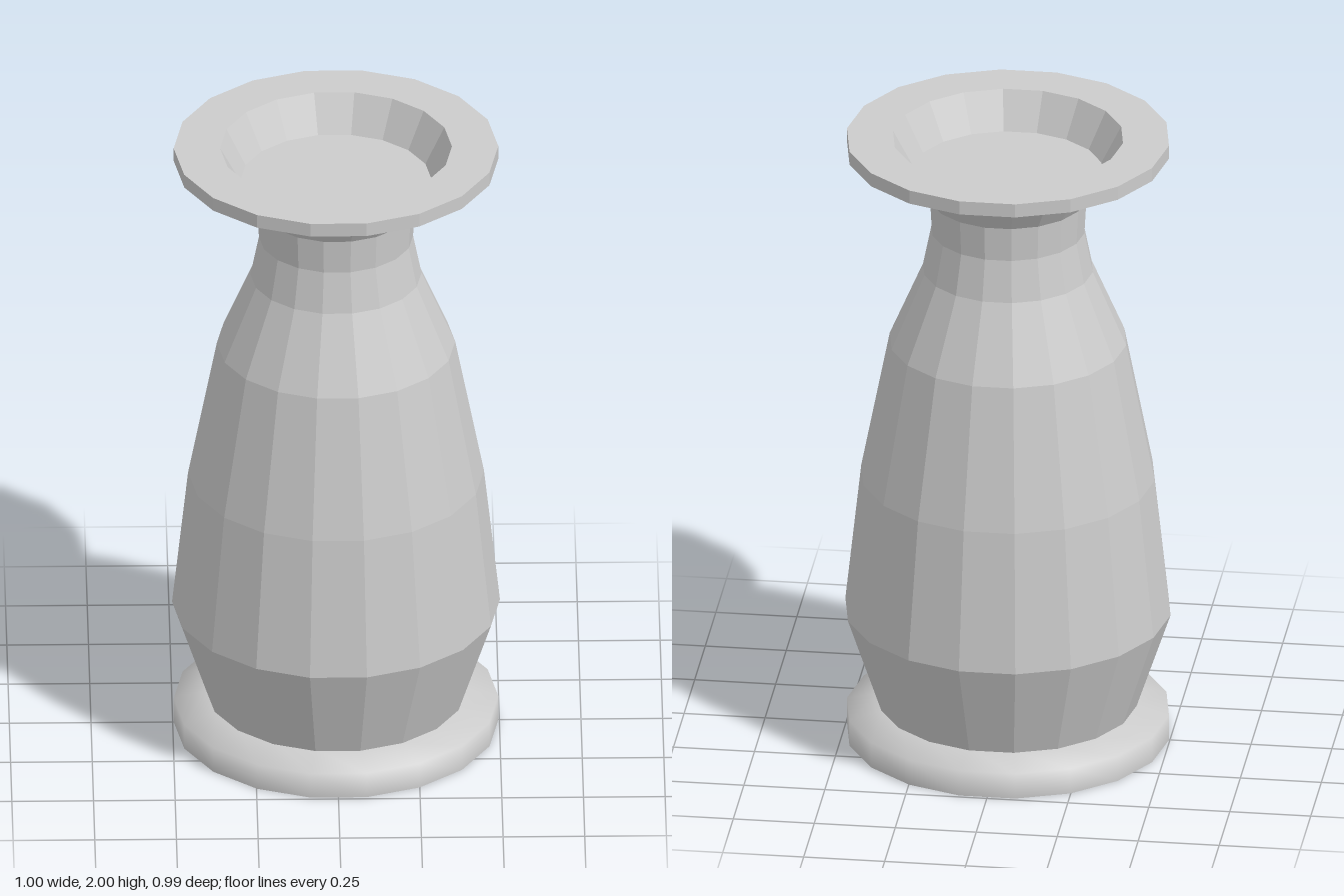
import * as THREE from 'three';

const SIDES = 18;

// Revolve a profile of [radius, height] points, with a corner on the x axis
function turned(name, profile, flatShading = true) {
  const points = profile.map(([r, y]) => new THREE.Vector2(r, y));
  const geometry = new THREE.LatheGeometry(points, SIDES, Math.PI / 2);
  const material = new THREE.MeshStandardMaterial({ color: 0xcccccc, flatShading });
  const mesh = new THREE.Mesh(geometry, material);
  mesh.name = name;
  return mesh;
}

export function createModel() {
  const vase = new THREE.Group();
  vase.name = 'vase';

  // Foot: smooth rounded disc with a flat underside
  vase.add(turned('foot', [[0.497, 0], [0.497, 0.083], [0.39, 0.11]], false));
  vase.add(turned('footUnderside', [[0, 0], [0.497, 0]]));

  // Faceted body, narrowing to the neck and flaring up to the rim
  vase.add(turned('body', [
    [0.397, 0.108], [0.502, 0.42], [0.453, 0.87], [0.365, 1.32],
    [0.262, 1.56], [0.236, 1.69], [0.242, 1.8], [0.344, 1.956],
  ]));

  // Wide flat rim
  vase.add(turned('rim', [[0.344, 1.956], [0.497, 1.956], [0.497, 2], [0.355, 2]]));

  // Shallow recess inside the mouth
  vase.add(turned('mouth', [[0.355, 2], [0.293, 1.885], [0, 1.885]]));

  return vase;
}
